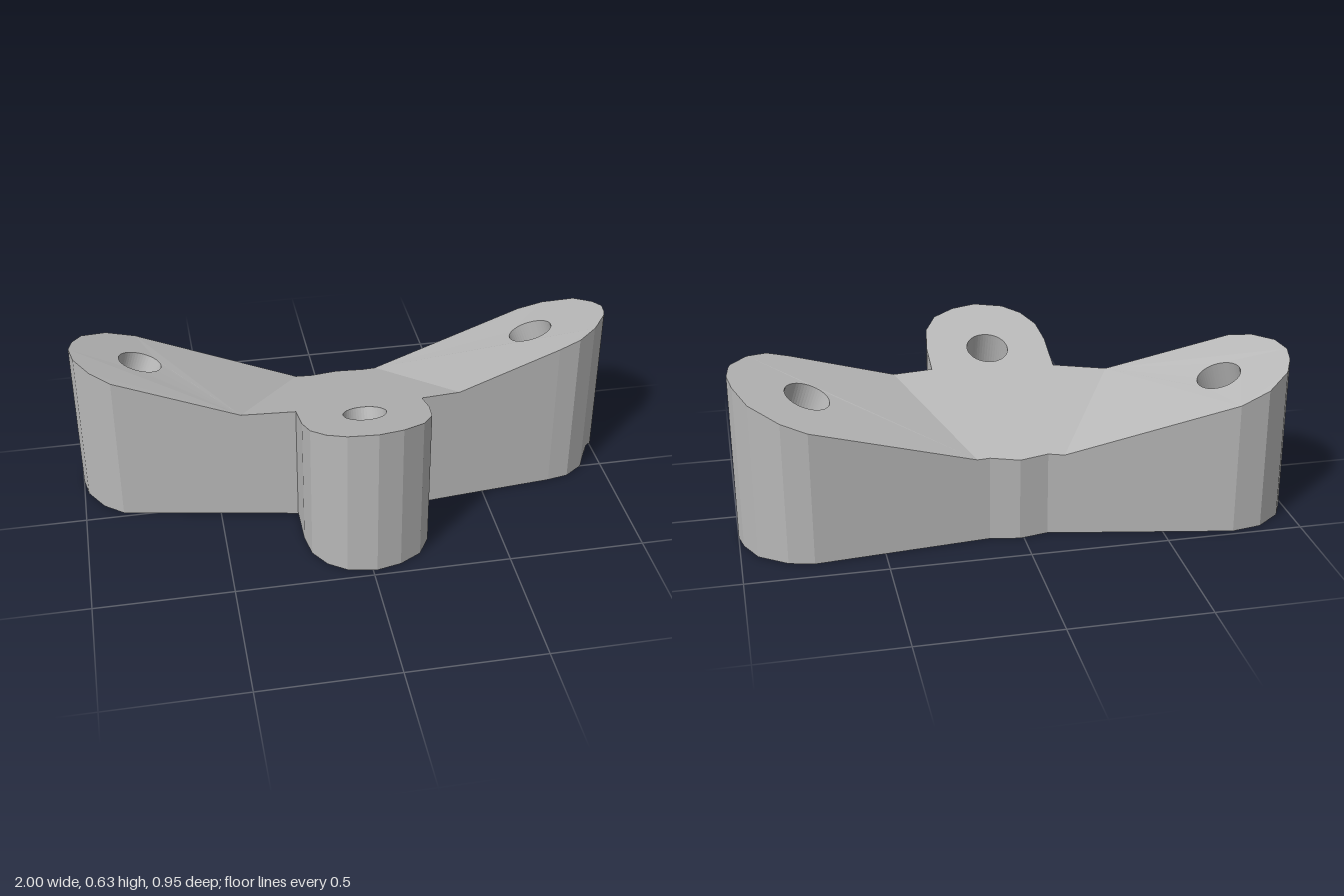
import * as THREE from 'three';

const HOLE = 0.077, BORE = 0.15, SEG = 48;

// Top planes: y = a + b x + c z
const centrePlane = (x, z) => 0.434 + 0.02 * x + 0.333 * z;
const minusPlane = (x, z) => 0.44 - 0.329 * (x + 0.41) + 0.11 * (z - 0.064);
const plusPlane = (x, z) => 0.475 + 0.3275 * (x - 0.39) + 0.191 * (z - 0.1);
const topY = (x, z) => Math.max(centrePlane(x, z), minusPlane(x, z), plusPlane(x, z));

// Plan outline as [x, z, height of the wall's foot], counterclockwise from above
const minusArm = [
  [-0.147, -0.366], [-0.75, -0.48], [-0.86, -0.46], [-0.95, -0.39], [-0.985, -0.32], [-1, -0.25],
  [-0.985, -0.165], [-0.93, -0.075], [-0.86, -0.02], [-0.41, 0.064],
];
const frontArm = [
  [-0.215, 0.1], [-0.215, 0.25], [-0.2, 0.34], [-0.155, 0.41], [-0.09, 0.455], [0.015, 0.475],
  [0.105, 0.455], [0.185, 0.41], [0.23, 0.335], [0.245, 0.23], [0.245, 0.115],
];
const plusArm = [
  [0.39, 0.1], [0.77, 0.065], [0.85, 0.05], [0.92, 0], [0.93, -0.013, 0.03], [0.94, -0.025, 0.055],
  [0.95, -0.04, 0.065], [0.965, -0.06, 0.06], [0.98, -0.08, 0.042], [0.985, -0.09, 0.028],
  [0.99, -0.105], [1, -0.165], [0.985, -0.23], [0.94, -0.32], [0.84, -0.39], [0.75, -0.412],
  [0.165, -0.359],
];
const backEdge = [[0.12, -0.355], [0.015, -0.375], [-0.09, -0.355]];
const outline = [...minusArm, ...frontArm, ...plusArm, ...backEdge];

// Closed faceted skin through rings of [x, y, z] points
function loft(rings) {
  const pos = [];
  for (let k = 0; k + 1 < rings.length; k++) {
    const lo = rings[k], hi = rings[k + 1], n = lo.length;
    for (let i = 0; i < n; i++) {
      const j = (i + 1) % n;
      pos.push(...lo[i], ...lo[j], ...hi[j], ...lo[i], ...hi[j], ...hi[i]);
    }
  }
  const g = new THREE.BufferGeometry();
  g.setAttribute('position', new THREE.Float32BufferAttribute(pos, 3));
  g.computeVertexNormals();
  return g;
}

// Flat face in plan with holes; up = 1 faces up, -1 faces down
function planFace(points, holes, up, height) {
  const to2 = ([x, z]) => new THREE.Vector2(x, -up * z);
  const shape = new THREE.Shape(points.map(to2));
  holes.forEach((h) => shape.holes.push(new THREE.Path(h.map(to2))));
  const g = new THREE.ShapeGeometry(shape).rotateX(-up * Math.PI / 2).toNonIndexed();
  const p = g.attributes.position;
  for (let i = 0; i < p.count; i++) p.setY(i, height(p.getX(i), p.getZ(i)));
  g.computeVertexNormals();
  return g;
}

// Leaning screw hole that opens into an upright bore below
function makeHole(x, z, plane) {
  const y0 = plane(x, z), ceiling = y0 - 0.14;
  const sx = plane(1, 0) - plane(0, 0), sz = plane(0, 1) - plane(0, 0);
  const bx = x + sx * 0.2, bz = z + sz * 0.2;
  const angles = Array.from({ length: SEG }, (_, i) => (i / SEG) * Math.PI * 2);
  // bore ring, widened where the leaning hole grooves its wall
  const boreRing = (y) => angles.map((t) => {
    const c = Math.cos(t), s = Math.sin(t);
    const ox = sx * (y0 - y - 0.2), oz = sz * (y0 - y - 0.2);
    const along = ox * c + oz * s;
    const d = along * along - (ox * ox + oz * oz - HOLE * HOLE);
    const r = Math.min(0.18, Math.max(BORE, d > 0 ? along + Math.sqrt(d) : 0));
    return [bx + r * c, y, bz + r * s];
  });
  const holeRing = (y) => angles.map((t) => [
    x + sx * (y0 - y) + HOLE * Math.cos(t), y, z + sz * (y0 - y) + HOLE * Math.sin(t)]);
  const mouth = holeRing(y0).map(([px, , pz]) => [px, plane(px, pz), pz]);
  const rings = [];
  for (let k = 0; k < 9; k++) rings.push(boreRing(k * 0.02));
  rings.push(boreRing(ceiling), holeRing(ceiling), mouth);
  const flat = (ring) => ring.map((p) => [p[0], p[2]]);
  return { geometry: loft(rings), top: flat(mouth), bottom: flat(rings[0]) };
}

export function createModel() {
  const group = new THREE.Group();
  group.name = 'threeArmBracket';
  const grey = new THREE.MeshStandardMaterial({ color: 0xb8b8b8 });
  grey.name = 'grey';
  const add = (name, geometry) => {
    const mesh = new THREE.Mesh(geometry, grey);
    mesh.name = name;
    group.add(mesh);
  };

  const minusHole = makeHole(-0.745, -0.25, minusPlane);
  const frontHole = makeHole(0.015, 0.215, centrePlane);
  const plusHole = makeHole(0.73, -0.18, plusPlane);

  // Side wall with the small notch at the foot of one arm
  add('outerWall', loft([
    outline.map(([x, z, foot = 0]) => [x, foot, z]),
    outline.map(([x, z]) => [x, topY(x, z), z]),
  ]));

  // Three sloping top faces meeting at two creases
  const centre = [minusArm[0], minusArm.at(-1), ...frontArm, plusArm[0], plusArm.at(-1), ...backEdge];
  add('rightArmTop', planFace(minusArm, [minusHole.top], 1, topY));
  add('centreTop', planFace(centre, [frontHole.top], 1, topY));
  add('leftArmTop', planFace(plusArm, [plusHole.top], 1, topY));

  // Underside and the bored holes
  add('underside', planFace(outline, [minusHole.bottom, frontHole.bottom, plusHole.bottom], -1, () => 0));
  add('rightArmHole', minusHole.geometry);
  add('frontArmHole', frontHole.geometry);
  add('leftArmHole', plusHole.geometry);
  return group;
}
